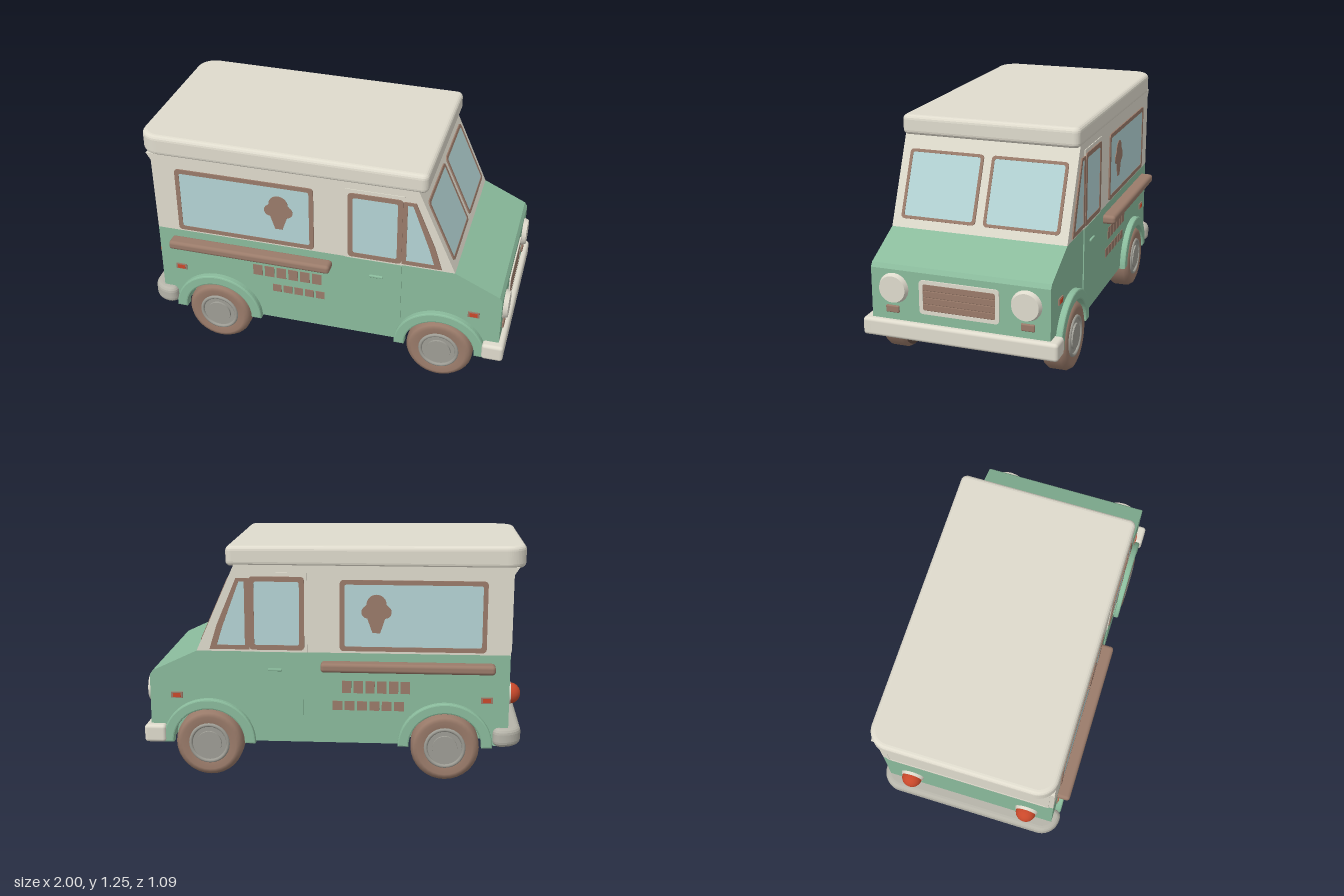
import * as THREE from 'three';
import { RoundedBoxGeometry } from 'three/addons/geometries/RoundedBoxGeometry.js';

const mat = (name, color) => {
  const m = new THREE.MeshStandardMaterial({ color });
  m.name = name;
  return m;
};
const cream = mat('cream', 0xdfdbcd);
const green = mat('green', 0x8abb9c);
const glass = mat('glass', 0xb4d4d5);
const brown = mat('brown', 0x9a7b6a);
const darkBrown = mat('darkBrown', 0x5e4a41);
const grey = mat('grey', 0x9e9d95);
const stone = mat('stone', 0xb6b4a9);
const red = mat('red', 0xc9482a);

function add(parent, name, geo, material, x = 0, y = 0, z = 0) {
  const m = new THREE.Mesh(geo, material);
  m.name = name;
  m.position.set(x, y, z);
  parent.add(m);
  return m;
}

// rectangle with separate corner radii on its left and right ends
function rect(x0, x1, y0, y1, rl = 0.015, rr = rl, Type = THREE.Shape) {
  const s = new Type();
  s.moveTo(x0 + rl, y0);
  s.lineTo(x1 - rr, y0);
  s.absarc(x1 - rr, y0 + rr, rr, -Math.PI / 2, 0, false);
  s.absarc(x1 - rr, y1 - rr, rr, 0, Math.PI / 2, false);
  s.absarc(x0 + rl, y1 - rl, rl, Math.PI / 2, Math.PI, false);
  s.absarc(x0 + rl, y0 + rl, rl, Math.PI, Math.PI * 1.5, false);
  return s;
}
const poly = pts => new THREE.Shape(pts.map(p => new THREE.Vector2(...p)));

// extrusion centred on z = 0
function slab(shape, depth) {
  const g = new THREE.ExtrudeGeometry(shape, { depth, bevelEnabled: false, curveSegments: 12 });
  return g.translate(0, 0, -depth / 2);
}
function framedRect(parent, name, x0, x1, y0, y1, w, z, frameMat = brown, fill = glass) {
  const f = rect(x0, x1, y0, y1, 0.02);
  f.holes.push(rect(x0 + w, x1 - w, y0 + w, y1 - w, 0.012, 0.012, THREE.Path));
  add(parent, name + 'Frame', slab(f, 0.014), frameMat, 0, 0, z);
  add(parent, name + 'Panel', slab(rect(x0 + w / 2, x1 - w / 2, y0 + w / 2, y1 - w / 2), 0.009), fill, 0, 0, z);
}
// plan outline raised to a rounded slab between y0 and y1
function planSlab(x0, x1, hz, y0, y1, rl, rr, b) {
  const g = new THREE.ExtrudeGeometry(rect(x0 + b, x1 - b, -hz + b, hz - b, rl, rr), {
    depth: y1 - y0 - 2 * b, bevelSize: b, bevelThickness: b, bevelSegments: 4, curveSegments: 8,
  });
  return g.rotateX(-Math.PI / 2).translate(0, y0 + b, 0);
}

const HALF = 0.475, BASE = 0.19, AXLES = [-0.6, 0.65], WHEEL_Y = 0.18;

function lowerProfile(arches) {
  const s = new THREE.Shape();
  s.moveTo(-0.93, 0.68);
  s.lineTo(-0.93, BASE);
  if (arches) for (const x of AXLES) s.absellipse(x, BASE, 0.2, 0.185, Math.PI, 0, true);
  s.lineTo(0.965, BASE);
  s.lineTo(0.965, 0.545);
  s.lineTo(0.95, 0.568);
  s.lineTo(0.71, 0.68);
  return s;
}

// wheel with its outer side towards +z and a dark inner side
function wheel() {
  const g = new THREE.Group();
  g.name = 'wheel';
  const inner = [[0.001, -0.064], [0.1, -0.064], [0.145, -0.07], [0.165, -0.062]];
  const outer = [[0.165, -0.062], [0.18, -0.04], [0.18, 0.04], [0.165, 0.062], [0.145, 0.07], [0.1, 0.06]];
  const turned = pts => new THREE.LatheGeometry(pts.map(p => new THREE.Vector2(...p)), 32).rotateX(Math.PI / 2);
  add(g, 'tyre', turned(outer), brown);
  add(g, 'tyreInnerSide', turned(inner), darkBrown);
  add(g, 'rim', new THREE.CylinderGeometry(0.108, 0.108, 0.122, 28).rotateX(Math.PI / 2), grey);
  add(g, 'rimRing', new THREE.TorusGeometry(0.1, 0.01, 8, 28), grey, 0, 0, 0.062);
  add(g, 'hubcap', new THREE.CylinderGeometry(0.066, 0.072, 0.08, 24).rotateX(Math.PI / 2), grey, 0, 0, 0.031);
  return g;
}

export function createModel() {
  const truck = new THREE.Group();
  truck.name = 'iceCreamTruck';

  // body: central core, arched flanks and cream upper half
  add(truck, 'bodyCore', slab(lowerProfile(false), 0.72), green);
  for (const s of [-1, 1]) add(truck, 'bodyFlank', slab(lowerProfile(true), HALF - 0.36), green, 0, 0, s * (HALF + 0.36) / 2);
  add(truck, 'upperBody', slab(poly([[-0.93, 0.68], [0.71, 0.68], [0.505, 1.14], [-0.96, 1.14], [-0.935, 1.1]]), HALF * 2), cream);

  // roof, dropping slightly towards the cab
  const roof = planSlab(-1, 0.55, 0.481, 1.13, 1.248, 0.08, 0.01, 0.025);
  const p = roof.attributes.position;
  for (let i = 0; i < p.count; i++) if (p.getY(i) > 1.2) p.setY(i, p.getY(i) - 0.008 * (p.getX(i) + 1));
  roof.computeVertexNormals();
  add(truck, 'roof', roof, cream);

  // bumpers
  add(truck, 'rearBumper', planSlab(-1, -0.85, 0.515, 0.19, 0.29, 0.075, 0.01, 0.03), stone);
  add(truck, 'frontBumper', new RoundedBoxGeometry(0.05, 0.095, 1.04, 3, 0.018), cream, 0.97, 0.23, 0);

  for (const s of [-1, 1]) {
    const z = s * HALF;
    add(truck, 'bumperEnd', new RoundedBoxGeometry(0.115, 0.095, 0.06, 3, 0.018), cream, 0.938, 0.23, s * 0.49);

    // wheels and arches
    for (const x of AXLES) {
      const w = wheel();
      w.position.set(x, WHEEL_Y, s * 0.44);
      if (s < 0) w.rotation.y = Math.PI;
      truck.add(w);
      const arch = new THREE.Shape();
      arch.absellipse(x, BASE, 0.24, 0.223, 0, Math.PI, false);
      arch.absellipse(x, BASE, 0.198, 0.184, Math.PI, 0, true);
      const ag = new THREE.ExtrudeGeometry(arch, { depth: 0.04, bevelSize: 0.008, bevelThickness: 0.008, bevelSegments: 2, curveSegments: 20 });
      add(truck, 'wheelArch', ag.translate(0, 0, -0.02), green, 0, 0, s * 0.48);
    }

    // serving window with cone picture and counter
    framedRect(truck, 'servingWindow', -0.805, -0.045, 0.692, 1.067, 0.024, z);
    const cone = new THREE.Shape();
    cone.moveTo(-0.255, 0.79);
    cone.lineTo(-0.215, 0.79);
    cone.lineTo(-0.19, 0.86);
    cone.absarc(-0.19, 0.9, 0.033, -Math.PI / 2, Math.PI / 3, false);
    cone.absarc(-0.235, 0.94, 0.052, 0, Math.PI, false);
    cone.absarc(-0.28, 0.9, 0.033, Math.PI * 2 / 3, Math.PI * 1.5, false);
    add(truck, 'coneDecal', slab(cone, 0.008), brown, 0, 0, s * (HALF + 0.004));
    add(truck, 'counter', new RoundedBoxGeometry(0.905, 0.05, 0.08, 3, 0.018), brown, -0.4, 0.612, s * 0.503);

    // two rows of plain painted dashes: [start, end, y, height, count]
    const rows = s > 0
      ? [[-0.4, 0, 0.497, 0.066, 6], [-0.29, 0.015, 0.395, 0.046, 5]]
      : [[-0.42, -0.05, 0.497, 0.066, 6], [-0.39, 0, 0.395, 0.05, 6]];
    for (const [a, b, y, h, n] of rows) {
      const pitch = (b - a) / n;
      for (let i = 0; i < n; i++) add(truck, 'dash', new THREE.BoxGeometry(pitch * 0.8, h, 0.006), brown, a + (i + 0.5) * pitch, y, z);
    }

    // cab door
    add(truck, 'doorLower', new THREE.BoxGeometry(0.285, 0.465, 0.012), green, 0.288, 0.4475, z);
    add(truck, 'doorUpper', new THREE.BoxGeometry(0.31, 0.42, 0.008), cream, 0.28, 0.89, z);
    framedRect(truck, 'doorWindow', 0.14, 0.428, 0.692, 1.08, 0.026, s * (HALF + 0.003));
    add(truck, 'doorHandle', new RoundedBoxGeometry(0.075, 0.014, 0.02, 2, 0.005), green, 0.295, 0.585, s * 0.481);

    // quarter window
    const quarter = poly([[0.428, 0.692], [0.64, 0.692], [0.6, 0.82], [0.495, 1.07], [0.428, 1.07]]);
    quarter.holes.push(poly([[0.452, 0.715], [0.452, 1.053], [0.48, 1.053], [0.57, 0.812], [0.6, 0.715]]));
    add(truck, 'quarterWindowFrame', slab(quarter, 0.014), brown, 0, 0, z);
    add(truck, 'quarterWindow', slab(poly([[0.445, 0.705], [0.615, 0.705], [0.58, 0.815], [0.488, 1.06], [0.445, 1.06]]), 0.009), glass, 0, 0, z);

    // side markers
    for (const x of [-0.815, 0.822]) {
      add(truck, 'markerBase', new THREE.BoxGeometry(0.062, 0.032, 0.014), brown, x, 0.437, z);
      add(truck, 'markerLens', new THREE.BoxGeometry(0.042, 0.022, 0.02), red, x, 0.437, z);
    }
  }

  // windscreen panes on the sloping cab front
  const screen = new THREE.Group();
  screen.name = 'windscreen';
  screen.position.set(0.6075, 0.91, 0);
  screen.rotation.set(-Math.atan2(0.205, 0.46), Math.PI / 2, 0, 'YXZ');
  for (const x of [-0.43, 0.022]) framedRect(screen, 'windscreen', x, x + 0.408, -0.205, 0.162, 0.016, 0);
  truck.add(screen);

  // nose: grille, headlights, indicators
  const nose = new THREE.Group();
  nose.name = 'nose';
  nose.position.x = 0.965;
  nose.rotation.y = Math.PI / 2;
  framedRect(nose, 'grille', -0.212, 0.212, 0.33, 0.51, 0.02, 0, cream, brown);
  for (let i = 0; i < 4; i++) add(nose, 'grilleSlat', new RoundedBoxGeometry(0.385, 0.034, 0.012, 2, 0.003), brown, 0, 0.367 + i * 0.0355, 0);
  for (const s of [-1, 1]) {
    add(nose, 'headlight', new THREE.CylinderGeometry(0.07, 0.082, 0.03, 32).rotateX(Math.PI / 2), cream, s * 0.352, 0.447, 0.01);
    add(nose, 'indicator', new RoundedBoxGeometry(0.072, 0.038, 0.02, 2, 0.006), brown, s * 0.36, 0.335, 0);
  }
  truck.add(nose);

  // tail: rear panel, slot and lamps
  const tail = new THREE.Group();
  tail.name = 'tail';
  tail.position.x = -0.93;
  tail.rotation.y = -Math.PI / 2;
  framedRect(tail, 'rear', -0.45, 0.45, 0.685, 1.09, 0.015, 0, cream, cream);
  add(tail, 'rearSlot', new THREE.BoxGeometry(0.55, 0.075, 0.018), brown, 0, 0.998, 0);
  for (const s of [-1, 1]) {
    add(tail, 'lampRing', new THREE.CylinderGeometry(0.06, 0.066, 0.024, 28).rotateX(Math.PI / 2), cream, s * 0.33, 0.44, 0.004);
    add(tail, 'tailLamp', new THREE.SphereGeometry(0.056, 24, 12), red, s * 0.33, 0.44, 0.014);
  }
  truck.add(tail);

  return truck;
}
